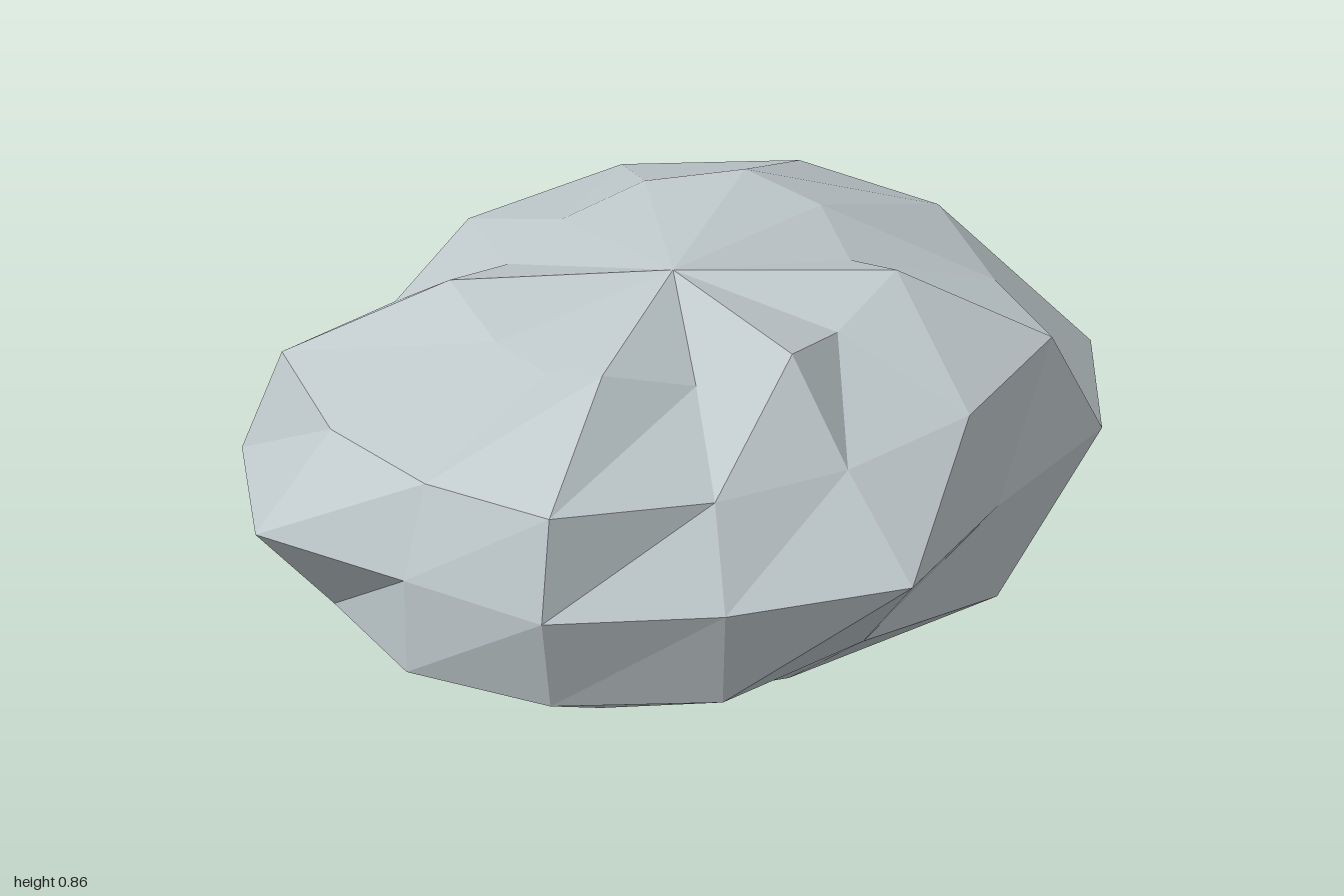
import * as THREE from 'three';

const SIDES = 14;
const HALF_HEIGHT = 0.43;
const DEPTH = 0.862;
const CENTRE_Z = -0.04;

// Horizontal reach of each corner, ring by ring from top to bottom,
// starting at +x and turning towards +z.
const RINGS = [
  [0.53, 0.47, 0.56, 0.48, 0.545, 0.45, 0.56, 0.45, 0.47, 0.56, 0.48, 0.51, 0.55, 0.57],
  [0.95, 0.855, 0.95, 0.865, 0.80, 0.82, 0.98, 0.89, 0.91, 0.98, 0.81, 0.935, 1.0, 1.0],
  [0.97, 1.11, 1.075, 0.95, 1.095, 1.02, 1.04, 0.965, 1.11, 1.08, 1.01, 0.90, 1.145, 1.075],
  [0.81, 0.82, 0.875, 0.945, 0.87, 0.97, 0.97, 0.955, 0.90, 0.90, 0.855, 0.86, 0.86, 0.87],
  [0.55, 0.475, 0.46, 0.565, 0.53, 0.50, 0.57, 0.50, 0.46, 0.56, 0.52, 0.51, 0.52, 0.52],
];

// Corners of the lowest ring that are chipped off the ground
const CHIPS = { 2: 0.1, 7: 0.06, 8: 0.09 };

function rockGeometry() {
  const positions = [0, 2 * HALF_HEIGHT, CENTRE_Z];
  RINGS.forEach((ring, i) => {
    const polar = ((i + 1) * Math.PI) / 6;
    ring.forEach((reach, k) => {
      const a = (k / SIDES) * Math.PI * 2;
      // the lowest ring is flattened onto the ground
      const y = i === 4 ? CHIPS[k] ?? 0 : HALF_HEIGHT * (1 + reach / Math.tan(polar));
      positions.push(reach * Math.cos(a), y, CENTRE_Z + DEPTH * reach * Math.sin(a));
    });
  });
  positions.push(0, 0, CENTRE_Z);

  const at = (i, k) => 1 + i * SIDES + (k % SIDES);
  const bottom = 1 + RINGS.length * SIDES;
  const index = [];
  for (let k = 0; k < SIDES; k++) {
    index.push(0, at(0, k + 1), at(0, k)); // top fan
    for (let i = 0; i < 4; i++) {
      index.push(at(i, k), at(i + 1, k + 1), at(i + 1, k));
      index.push(at(i, k), at(i, k + 1), at(i + 1, k + 1));
    }
    index.push(bottom, at(4, k), at(4, k + 1)); // underside
  }

  const indexed = new THREE.BufferGeometry();
  indexed.setAttribute('position', new THREE.Float32BufferAttribute(positions, 3));
  indexed.setIndex(index);
  const geometry = indexed.toNonIndexed();
  geometry.computeVertexNormals();
  return geometry;
}

export function createModel() {
  const stone = new THREE.MeshStandardMaterial({ color: 0xc0cacd, flatShading: true });
  stone.name = 'pale grey stone';
  const rock = new THREE.Mesh(rockGeometry(), stone);
  rock.name = 'rock';
  const group = new THREE.Group();
  group.name = 'boulder';
  group.add(rock);
  return group;
}
